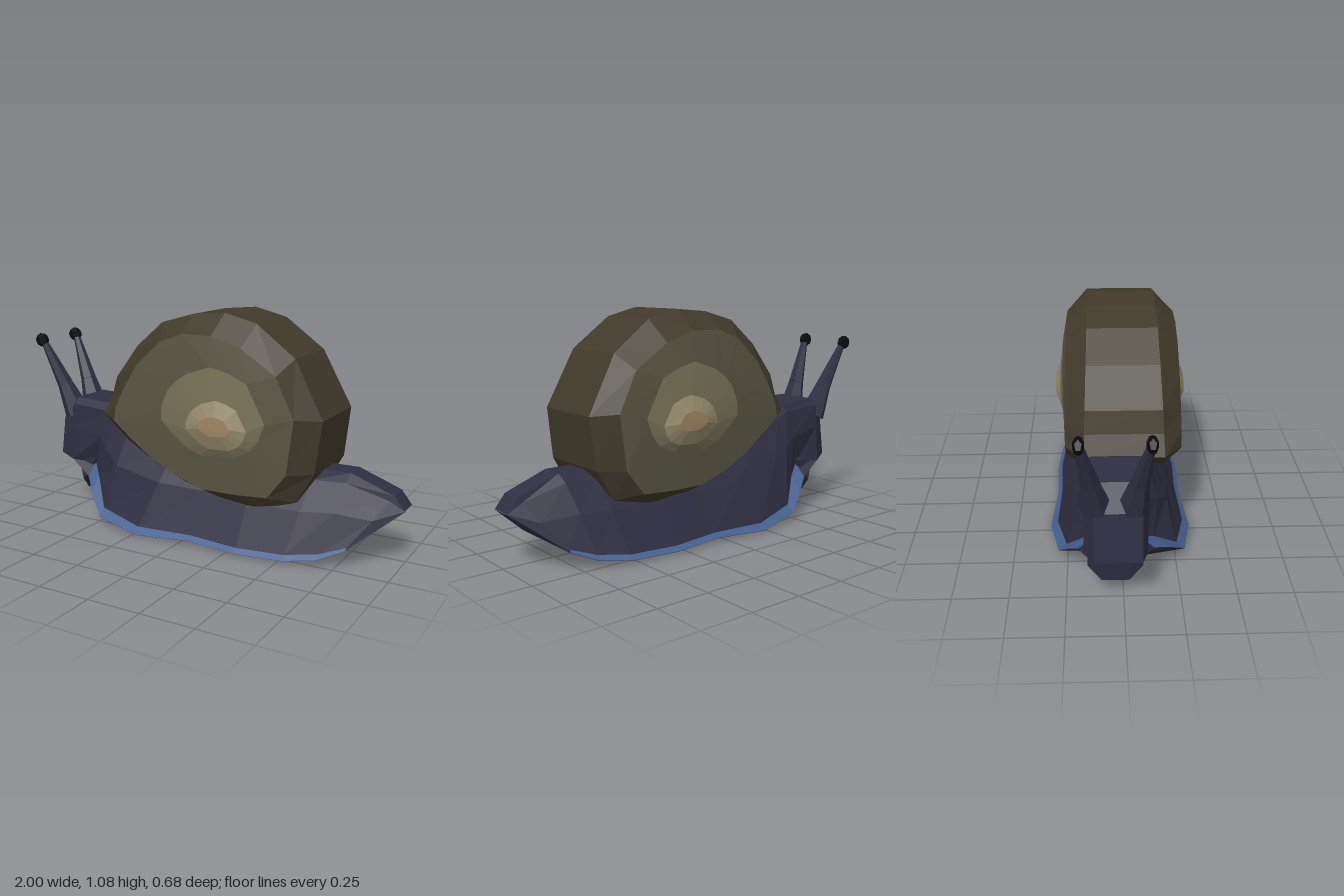
import * as THREE from 'three';

const mat = (color, side = THREE.FrontSide) =>
  new THREE.MeshStandardMaterial({ color, flatShading: true, roughness: 0.9, side });

const SKIN = mat(0x302f43), EDGE = mat(0x466090, THREE.DoubleSide), BLACK = mat(0x0a0b0e);

// Joins a row of equal-length rings of [x, y, z] points into one faceted surface.
function loft(rings, closed = true) {
  const pos = [];
  const n = rings[0].length;
  for (let i = 0; i < rings.length - 1; i++) {
    for (let j = 0; j < (closed ? n : n - 1); j++) {
      const k = (j + 1) % n;
      const a = rings[i][j], b = rings[i + 1][j], c = rings[i + 1][k], d = rings[i][k];
      pos.push(...a, ...b, ...c, ...a, ...c, ...d);
    }
  }
  const g = new THREE.BufferGeometry();
  g.setAttribute('position', new THREE.Float32BufferAttribute(pos, 3));
  g.computeVertexNormals();
  return g;
}

function add(parent, name, geometry, material) {
  const m = new THREE.Mesh(geometry, material);
  m.name = name;
  parent.add(m);
  return m;
}

// Faceted tapered limb between two points.
function limb(a, b, ra, rb) {
  const from = new THREE.Vector3(...a), to = new THREE.Vector3(...b);
  const dir = to.clone().sub(from);
  const g = new THREE.CylinderGeometry(rb, ra, dir.length(), 6);
  g.applyQuaternion(new THREE.Quaternion().setFromUnitVectors(new THREE.Vector3(0, 1, 0), dir.normalize()));
  const c = from.add(to).multiplyScalar(0.5);
  return g.translate(c.x, c.y, c.z);
}

// Body stations from head to tail:
// base x, y, half width | keel y | edge height | top x, y, half width | pinch | centre z
const STATIONS = [
  [-0.87, 0.27, 0.1, 0.27, 0.0, -0.84, 0.49, 0.08, 0, -0.025],
  [-0.78, 0.25, 0.135, 0.25, 0.0, -0.75, 0.585, 0.11, 0, -0.035],
  [-0.65, 0.18, 0.165, 0.17, 0.06, -0.53, 0.575, 0.11, 0.35, -0.03],
  [-0.58, 0.13, 0.22, 0.07, 0.06, -0.48, 0.55, 0.12, 0.65, -0.015],
  [-0.47, 0.04, 0.29, 0.04, 0.035, -0.38, 0.5, 0.12, 0.85, 0],
  [-0.23, 0.005, 0.335, 0, 0.03, -0.1, 0.45, 0.12, 0.95, 0],
  [0.06, 0.02, 0.31, 0.02, 0.02, 0.1, 0.42, 0.1, 1, 0],
  [0.3, 0.01, 0.32, 0.01, 0.02, 0.32, 0.4, 0.08, 1, 0],
  [0.53, 0.015, 0.3, 0.015, 0.02, 0.6, 0.39, 0.055, 1, 0],
  [0.68, 0.035, 0.26, 0.035, 0.02, 0.75, 0.39, 0.055, 1.02, 0],
  [0.79, 0.08, 0.205, 0.08, 0.01, 0.95, 0.315, 0.055, 1.15, 0],
  [1.0, 0.25, 0.055, 0.25, 0.0, 1.0, 0.252, 0.055, 0, 0],
];

function buildBody(group) {
  const outer = [], edges = { left: [], right: [] };
  for (const [bx, by, bw, ky, eh, tx, ty, tw, pinch, zc] of STATIONS) {
    const at = (t, w) => [bx + (tx - bx) * t, by + (ty - by) * t, w];
    const half = [
      [bx, by, bw],
      [bx, by + eh, bw - eh * 1.1],
      at(0.55, bw * (1 - 0.34 * pinch)),
      at(0.9, Math.max(tw, bw * (1 - 0.6 * pinch))),
      [tx, ty, tw],
    ];
    const left = half.map(([x, y, w]) => [x, y, zc + w]);
    const right = half.map(([x, y, w]) => [x, y, zc - w]);
    outer.push([[bx, ky, zc], ...left, ...right.slice().reverse()]);
    if (eh > 0) {
      const lift = 0.003;
      edges.left.push(left.slice(0, 2).map(([x, y, z]) => [x, y + lift, z + lift]));
      edges.right.push(right.slice(0, 2).map(([x, y, z]) => [x, y + lift, z - lift]));
    }
  }
  // Face cap closing the head
  const first = outer[0];
  const centre = first[0].map((_, k) => first.reduce((s, p) => s + p[k], 0) / first.length);
  outer.unshift(first.map(() => centre));
  add(group, 'body', loft(outer), SKIN);
  for (const side of ['left', 'right']) add(group, side + 'FootEdge', loft(edges[side], false), EDGE);
}

function buildHead(group) {
  // Wide lip hanging under the head, tapered at both sides
  const lip = [[-0.78, 0.28], [-0.6, 0.28], [-0.655, 0.17], [-0.69, 0.125], [-0.74, 0.08]];
  const slices = [[-0.12, 0], [-0.12, 0.6], [-0.06, 1], [0.06, 1], [0.12, 0.6], [0.12, 0]];
  add(group, 'lip', loft(slices.map(([z, f]) =>
    lip.map(([x, y]) => [-0.71 + (x + 0.71) * f, 0.25 + (y - 0.25) * f, z - 0.035]))), SKIN);

  for (const s of [1, -1]) {
    const z = (w) => -0.04 + s * w;
    const stalk = new THREE.Group();
    stalk.name = s > 0 ? 'leftEyeStalk' : 'rightEyeStalk';
    add(stalk, 'stalkBase', limb([-0.785, 0.49, z(0.078)], [-0.845, 0.64, z(0.098)], 0.068, 0.041), SKIN);
    add(stalk, 'stalk', limb([-0.845, 0.64, z(0.098)], [-0.942, 0.855, z(0.133)], 0.041, 0.018), SKIN);
    const eye = add(stalk, 'eye', new THREE.DodecahedronGeometry(0.037), BLACK);
    eye.position.set(-0.957, 0.873, z(0.137));
    eye.scale.set(1.1, 1, 0.65);
    group.add(stalk);
  }
}

// Shell outlines, clockwise from the lip at the neck
const RIM = [[-0.5, 0.55], [-0.45, 0.64], [-0.42, 0.74], [-0.3, 0.9], [-0.16, 1.02], [0, 1.065], [0.17, 1.08], [0.33, 1.04],
  [0.52, 0.9], [0.66, 0.64], [0.63, 0.4], [0.55, 0.26], [0.36, 0.2], [0.18, 0.22], [-0.02, 0.27], [-0.19, 0.34], [-0.35, 0.43]];
const SIDE = [[-0.38, 0.54], [-0.37, 0.61], [-0.33, 0.69], [-0.25, 0.82], [-0.12, 0.94], [0, 0.985], [0.15, 0.985], [0.3, 0.94],
  [0.47, 0.83], [0.56, 0.65], [0.53, 0.4], [0.44, 0.285], [0.28, 0.275], [0.11, 0.275], [-0.03, 0.32], [-0.16, 0.38], [-0.29, 0.47]];
const WHORL = [[-0.1, 0.58], [-0.1, 0.63], [-0.09, 0.67], [-0.06, 0.73], [-0.02, 0.77], [0.04, 0.81], [0.16, 0.85], [0.25, 0.83],
  [0.34, 0.79], [0.43, 0.62], [0.4, 0.54], [0.36, 0.49], [0.28, 0.45], [0.2, 0.445], [0.11, 0.44], [0.03, 0.47], [-0.05, 0.53]];

function buildShell(group) {
  const shell = new THREE.Group();
  shell.name = 'shell';
  shell.position.z = 0.01;
  group.add(shell);
  const shrink = (fx, fy, cy) => WHORL.map(([x, y]) => [0.2 + (x - 0.17) * fx, cy + (y - 0.64) * fy]);
  const layers = [
    [RIM, (y) => 0.2 - 0.04 * y],
    [SIDE, (y) => 0.272 - 0.02 * y],
    [WHORL, () => 0.276],
    [shrink(0.58, 0.55, 0.59), () => 0.293],
    [shrink(0.3, 0.22, 0.59), () => 0.318],
    [shrink(0, 0, 0.575), () => 0.32],
  ];
  const ring = ([pts, depth], s) => pts.map(([x, y]) => [x, y, s * depth(y)]);
  const brown = mat(0x413a2b);
  add(shell, 'shellBand', loft([ring(layers[0], -1), ring(layers[0], 1)]), brown);
  const bands = [
    ['shellShoulder', brown], ['shellSide', mat(0x585443)], ['shellWhorl', mat(0x777056)],
    ['shellCore', mat(0x978b6d)], ['shellTip', mat(0xa08562)],
  ];
  for (const s of [1, -1]) {
    bands.forEach(([name, material], i) => {
      const pair = [ring(layers[i], s), ring(layers[i + 1], s)];
      add(shell, (s > 0 ? 'front' : 'back') + name[0].toUpperCase() + name.slice(1),
        loft(s > 0 ? pair : pair.reverse()), material);
    });
  }
}

export function createModel() {
  const group = new THREE.Group();
  group.name = 'snail';
  buildBody(group);
  buildHead(group);
  buildShell(group);
  return group;
}
